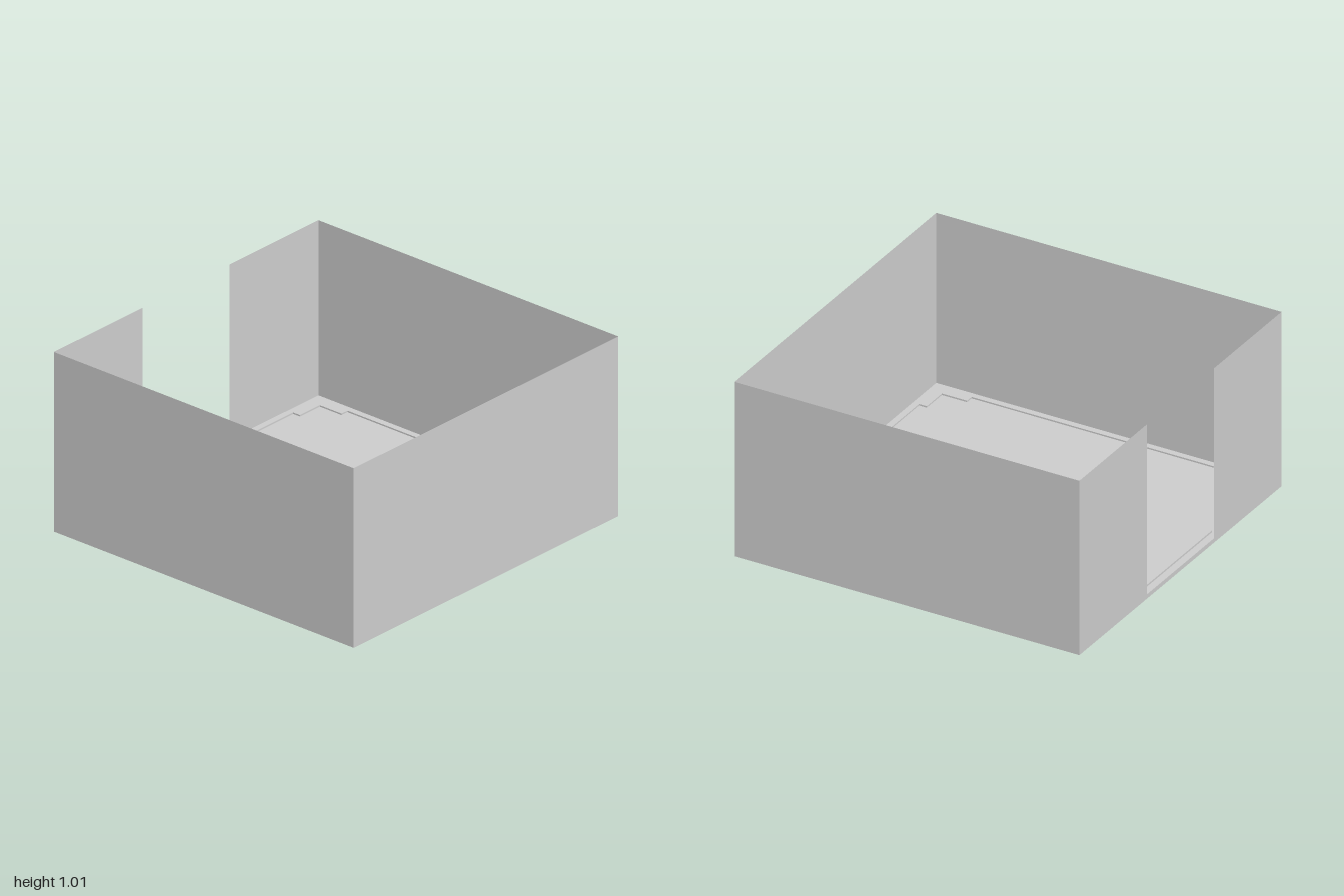
import * as THREE from 'three';

const grey = new THREE.MeshStandardMaterial({ color: 0xcccccc, flatShading: true });
const greyThin = new THREE.MeshStandardMaterial({ color: 0xcccccc, side: THREE.DoubleSide });

const toVectors = (points) => points.map(([x, z]) => new THREE.Vector2(x, z));

// Mirrors a quarter outline (running from the z side to the x side) into a closed loop
function mirrorQuarter(q) {
  const back = [...q].reverse();
  return [
    ...q,
    ...back.map(([x, z]) => [x, -z]),
    ...q.map(([x, z]) => [-x, -z]),
    ...back.map(([x, z]) => [-x, z]),
  ];
}

// Flat slab lying in the floor plane between two heights
function slab(name, points, y0, y1, hole) {
  const shape = new THREE.Shape(toVectors(points));
  if (hole) shape.holes.push(new THREE.Path(toVectors(hole)));
  const geometry = new THREE.ExtrudeGeometry(shape, { depth: y1 - y0, bevelEnabled: false });
  geometry.rotateX(-Math.PI / 2);
  const mesh = new THREE.Mesh(geometry, grey);
  mesh.name = name;
  mesh.position.y = y0;
  return mesh;
}

// Thin upright wall sheet
function wall(name, width, x, z, turn) {
  const mesh = new THREE.Mesh(new THREE.PlaneGeometry(width, 1), greyThin);
  mesh.name = name;
  mesh.position.set(x, 0.51, z);
  mesh.rotation.y = turn;
  return mesh;
}

export function createModel() {
  const room = new THREE.Group();
  room.name = 'room';

  // Walls, with a full-height doorway in the middle third of the back
  room.add(wall('frontWall', 2, 0, 1, 0));
  for (const s of [1, -1]) {
    const side = s > 0 ? 'left' : 'right';
    room.add(wall(side + 'Wall', 2, s, 0, s * Math.PI / 2));
    room.add(wall(side + 'BackWall', 0.67, s * 0.665, -1, Math.PI));
  }

  // Thick floor rim with stepped corners, around a thinner sunken panel
  const outline = mirrorQuarter([
    [0.24, 0.775], [0.44, 0.965], [0.77, 0.965], [0.77, 0.92],
    [0.92, 0.92], [0.92, 0.775], [0.965, 0.775],
  ]);
  const square = [[-1, -1], [1, -1], [1, 1], [-1, 1]];
  room.add(slab('floorRim', square, 0.01, 0.035, outline));
  room.add(slab('floorPanel', outline, 0.018, 0.027));

  // Trapezoid plates at the front and back, proud of the rim on both faces
  for (const s of [1, -1]) {
    const plate = [[-0.38, 0.96], [-0.22, 0.81], [0.22, 0.81], [0.38, 0.96]].map(([x, z]) => [x, z * s]);
    room.add(slab(s > 0 ? 'backPlate' : 'frontPlate', plate, 0, 0.045));
  }

  // Hexagon plate in the middle with four angled brackets around it
  const hexagon = [[0, 0.29], [0.195, 0.148], [0.195, -0.148], [0, -0.29], [-0.195, -0.148], [-0.195, 0.148]];
  room.add(slab('centrePlate', hexagon, 0, 0.045));
  const bracket = [[0.02, 0.32], [0.228, 0.167], [0.228, 0.13], [0.195, 0.148], [0.02, 0.275]];
  for (const sx of [1, -1]) for (const sz of [1, -1]) {
    room.add(slab('centreBracket', bracket.map(([x, z]) => [x * sx, z * sz]), 0.012, 0.033));
  }
  return room;
}
